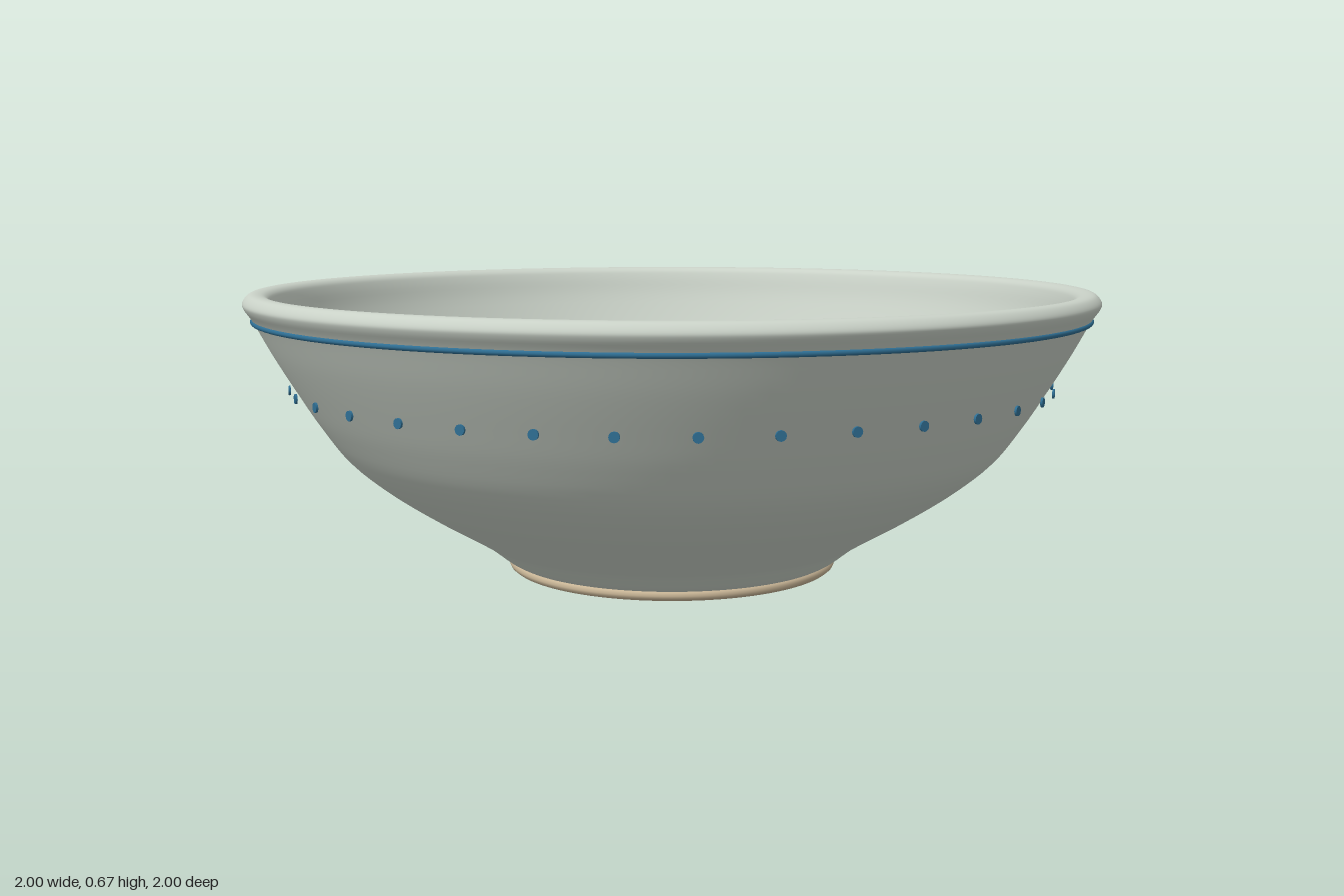
import * as THREE from 'three';

const SEGMENTS = 128;

// Smooth curve through a few [radius, height] points
function profile(points, divisions) {
  return new THREE.SplineCurve(points.map(([r, y]) => new THREE.Vector2(r, y))).getPoints(divisions);
}

export function createModel() {
  const group = new THREE.Group();
  const glaze = new THREE.MeshStandardMaterial({ name: 'pale celadon glaze', color: 0xc9d1c7 });
  const blue = new THREE.MeshStandardMaterial({ name: 'blue paint', color: 0x2f6f94 });
  const clay = new THREE.MeshStandardMaterial({ name: 'bare clay', color: 0xc8b596 });

  const add = (name, geometry, material, parent = group) => {
    const mesh = new THREE.Mesh(geometry, material);
    mesh.name = name;
    parent.add(mesh);
    return mesh;
  };

  // Bowl wall: outside, rounded rim, then down the inside to the centre
  const wall = profile([
    [0.385, 0.02], [0.41, 0.033], [0.437, 0.054], [0.475, 0.082], [0.585, 0.148],
    [0.69, 0.218], [0.775, 0.29], [0.835, 0.37], [0.885, 0.45], [0.935, 0.535],
    [0.975, 0.61], [0.995, 0.64], [0.998, 0.655], [0.985, 0.671], [0.965, 0.674],
    [0.945, 0.667], [0.932, 0.645], [0.905, 0.575], [0.83, 0.44], [0.72, 0.32],
    [0.57, 0.21], [0.4, 0.127], [0.2, 0.088], [0, 0.08],
  ], 115);
  wall[wall.length - 1].x = 0;
  add('bowl', new THREE.LatheGeometry(wall, SEGMENTS), glaze);

  // Flat underside inside the foot
  const base = add('underside', new THREE.CircleGeometry(0.388, SEGMENTS), glaze);
  base.rotation.x = Math.PI / 2;
  base.position.y = 0.018;

  // Unglazed foot ring
  const foot = add('footRing', new THREE.TorusGeometry(0.38, 0.018, 12, SEGMENTS), clay);
  foot.rotation.x = Math.PI / 2;
  foot.scale.z = 0.8;
  foot.position.y = 0.0144;

  // Thin painted line below the rim
  const line = add('rimLine', new THREE.TorusGeometry(0.977, 0.006, 8, SEGMENTS), blue);
  line.rotation.x = Math.PI / 2;
  line.position.y = 0.612;

  // Ring of small painted dots
  const dots = new THREE.Group();
  dots.name = 'dots';
  group.add(dots);
  const dotGeometry = new THREE.CylinderGeometry(0.011, 0.011, 0.005, 12).rotateX(Math.PI / 2);
  const count = 36;
  for (let i = 0; i < count; i++) {
    const angle = (i / count) * Math.PI * 2;
    const dot = add('dot', dotGeometry, blue, dots);
    dot.position.set(Math.sin(angle) * 0.901, 0.45, Math.cos(angle) * 0.901);
    dot.rotation.y = angle;
  }

  return group;
}
